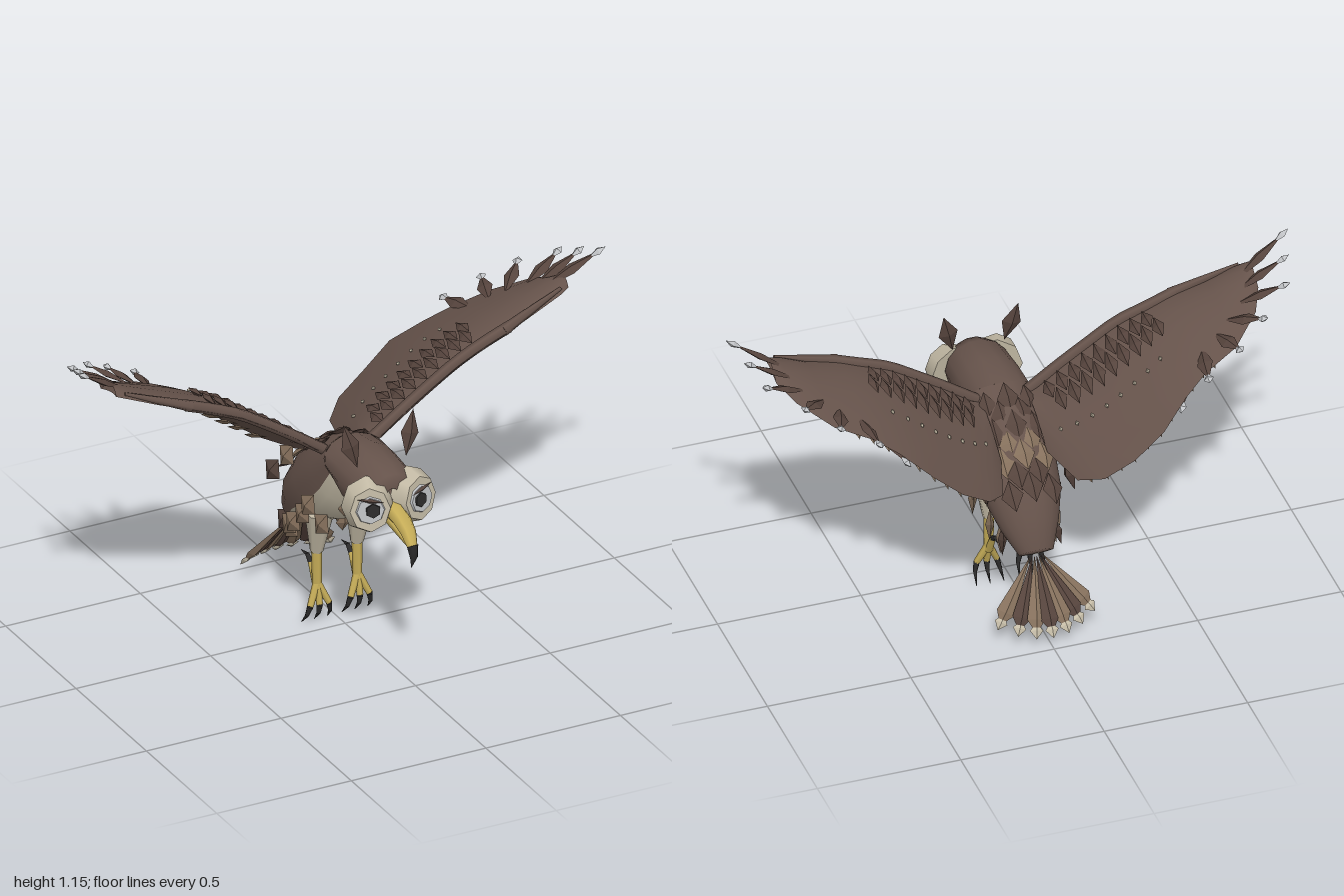
import * as THREE from 'three';

const V = (x, y, z) => new THREE.Vector3(x, y, z);
const lerp = THREE.MathUtils.lerp;

export function createModel() {
  const root = new THREE.Group();
  const mat = (name, color) => new THREE.MeshStandardMaterial({ name, color, side: THREE.DoubleSide });
  const brown = mat('brown plumage', 0x66534b);
  const dark = mat('dark feather', 0x56443d);
  const tan = mat('tan feather', 0x85705c);
  const cream = mat('cream down', 0xc4bba6);
  const yellow = mat('yellow horn', 0xc6ad58);
  const black = mat('black claw', 0x2c2b2b);
  const silver = mat('silver tip', 0xbfc1c4);

  const add = (name, geo, m, parent = root) => {
    const mesh = new THREE.Mesh(geo, m);
    mesh.name = name;
    parent.add(mesh);
    return mesh;
  };

  // Smooth skin over rows of points
  function loft(rows, flip = false, closed = false) {
    const n = rows[0].length, idx = [];
    for (let i = 0; i < rows.length - 1; i++) {
      for (let j = 0; j < (closed ? n : n - 1); j++) {
        const a = i * n + j, b = i * n + (j + 1) % n, c = a + n, d = b + n;
        idx.push(...(flip ? [a, c, b, b, c, d] : [a, b, c, b, d, c]));
      }
    }
    const g = new THREE.BufferGeometry().setFromPoints(rows.flat());
    g.setIndex(idx);
    g.computeVertexNormals();
    return g;
  }

  // Elliptical ring from [topZ, topY, bottomZ, bottomY, halfWidth]
  function ring([tz, ty, bz, by, w], from, to, n, closed) {
    const pts = [];
    for (let k = 0; k < n; k++) {
      const a = lerp(from, to, k / (closed ? n : n - 1)), s = (Math.sin(a) + 1) / 2;
      pts.push(V(w * Math.cos(a), lerp(by, ty, s), lerp(bz, tz, s)));
    }
    return pts;
  }
  const tubeLoft = (secs, n) => loft(secs.map(s => ring(s, Math.PI * 2, 0, n, true)), false, true);

  // Flat faceted feather between two points, widest at fraction k
  function feather(name, m, a, b, width, thick, normal, parent = root, k = 0.5) {
    const len = a.distanceTo(b), g = new THREE.OctahedronGeometry(1), p = g.attributes.position;
    for (let i = 0; i < p.count; i++) {
      const y = p.getY(i);
      p.setXYZ(i, p.getX(i) * width / 2, Math.abs(y) < 0.1 ? len * k : y > 0 ? len : 0, p.getZ(i) * thick / 2);
    }
    g.computeVertexNormals();
    const mesh = add(name, g, m, parent);
    const dir = b.clone().sub(a).normalize();
    const side = dir.clone().cross(normal).normalize();
    mesh.quaternion.setFromRotationMatrix(new THREE.Matrix4().makeBasis(side, dir, side.clone().cross(dir)));
    mesh.position.copy(a);
    return mesh;
  }

  // Tapered six-sided limb between two points
  function limb(name, m, a, b, r0, r1, parent = root) {
    const g = new THREE.CylinderGeometry(r1, r0, a.distanceTo(b), 6);
    const mesh = add(name, g, m, parent);
    mesh.quaternion.setFromUnitVectors(V(0, 1, 0), b.clone().sub(a).normalize());
    mesh.position.copy(a).lerp(b, 0.5);
  }

  // Neck and body, with a pale underside
  const neck = [
    [0.335, 0.66, 0.335, 0.62, 0.02], [0.33, 0.71, 0.33, 0.56, 0.08], [0.28, 0.73, 0.28, 0.53, 0.11],
    [0.15, 0.745, 0.19, 0.525, 0.115], [0.03, 0.725, 0.12, 0.59, 0.115]];
  const body = [
    [0.03, 0.725, 0.12, 0.59, 0.115], [-0.08, 0.68, 0.1, 0.5, 0.13], [-0.2, 0.59, 0.03, 0.41, 0.14],
    [-0.27, 0.49, -0.1, 0.345, 0.13], [-0.31, 0.4, -0.2, 0.285, 0.1], [-0.345, 0.3, -0.295, 0.25, 0.06],
    [-0.325, 0.275, -0.315, 0.265, 0.01]];
  const PI = Math.PI, cut = 0.13 * PI;
  add('neck', tubeLoft(neck, 14), brown);
  add('back', loft(body.map(s => ring(s, PI + cut, -cut, 13, false))), brown);
  add('belly', loft(body.map(s => ring(s, -cut, cut - PI, 9, false))), cream);

  // Hooked beak
  add('upperBeak', tubeLoft([[0.33, 0.62, 0.33, 0.555, 0.036], [0.41, 0.6, 0.4, 0.55, 0.034],
    [0.46, 0.57, 0.44, 0.53, 0.028], [0.495, 0.515, 0.465, 0.5, 0.018]], 6), yellow);
  add('beakTip', tubeLoft([[0.497, 0.525, 0.462, 0.505, 0.021], [0.5, 0.48, 0.478, 0.47, 0.014],
    [0.472, 0.43, 0.47, 0.43, 0.001]], 6), black);
  limb('lowerBeak', yellow, V(0, 0.545, 0.33), V(0, 0.505, 0.45), 0.022, 0.008);

  // Overlapping feathers down the spine
  for (let r = 0; r < 7; r++) {
    const t = r / 6, z = lerp(-0.01, -0.26, t), y = lerp(0.715, 0.525, t * (0.75 + 0.25 * t));
    const count = r % 2 ? 2 : 3;
    for (let c = 0; c < count; c++) {
      const x = (c - (count - 1) / 2) * 0.07, drop = Math.abs(x) * 0.35;
      feather('backFeather', r === 3 || r === 4 ? tan : dark, V(x, y + 0.025 - drop, z + 0.02),
        V(x, y - 0.045 - drop, z - 0.065), 0.075, 0.025, V(x * 4, 0.8, -0.6));
    }
  }

  // Chest feathers
  for (const [x, y, z] of [[0, 0.46, 0.075], [0.05, 0.5, 0.09], [-0.05, 0.5, 0.09], [0, 0.385, -0.02]])
    feather('chestFeather', tan, V(x, y + 0.035, z + 0.02), V(x, y - 0.045, z), 0.06, 0.02, V(0, -0.4, 1));

  // Tail fan
  for (let i = -3; i <= 3; i++) {
    const u = i / 3, a = V(u * 0.02, 0.265, -0.32);
    const b = V(u * 0.16, 0.06 + 0.02 * u * u, -0.485 + 0.07 * u * u);
    const up = V(0, 0.65, -0.75);
    feather('tailFeather', i % 2 ? tan : dark, a, b, 0.062, 0.022, up, root, 0.82);
    feather('tailTip', cream, a.clone().lerp(b, 0.85), a.clone().lerp(b, 1.07), 0.045, 0.016, up);
  }

  // Wing outline: x, leading z, leading y, trailing z, trailing y
  const stations = [
    [0.08, 0.03, 0.67, -0.2, 0.58], [0.13, 0.04, 0.7, -0.36, 0.56], [0.2, 0.04, 0.755, -0.43, 0.595],
    [0.3, 0.04, 0.82, -0.45, 0.66], [0.4, 0.04, 0.88, -0.45, 0.75], [0.5, 0.03, 0.92, -0.39, 0.83],
    [0.58, 0.03, 0.95, -0.35, 0.88], [0.7, 0.01, 0.99, -0.31, 0.93], [0.8, 0, 1.03, -0.22, 0.99],
    [0.84, -0.02, 1.04, -0.13, 1.02]];
  function wingAt(s, x, f, camber = 0.035) {
    let i = 0;
    while (i < stations.length - 2 && stations[i + 1][0] < x) i++;
    const p = stations[i], q = stations[i + 1], t = (x - p[0]) / (q[0] - p[0]);
    const m = p.map((v, k) => lerp(v, q[k], t));
    return V(s * x, lerp(m[2], m[4], f) + camber * Math.sin(PI * Math.pow(f, 0.7)), lerp(m[1], m[3], f));
  }
  const tips = [[0.98, 1.155, -0.025], [0.95, 1.12, -0.12], [0.92, 1.08, -0.22], [0.81, 1.025, -0.315],
    [0.7, 0.96, -0.38], [0.57, 0.89, -0.42], [0.47, 0.79, -0.42]];

  for (const s of [1, -1]) {
    const wing = new THREE.Group();
    wing.name = s > 0 ? 'leftWing' : 'rightWing';
    root.add(wing);
    const chord = [0, 0.12, 0.3, 0.5, 0.75, 1];
    const sheet = (c, rev) => stations.map(st =>
      (rev ? chord : [...chord].reverse()).map(f => wingAt(s, st[0], f, c)));
    add('wingTop', loft(sheet(0.035, false), s < 0), brown, wing);
    add('wingUnderside', loft(sheet(0.008, true), s < 0), brown, wing);
    const edge = new THREE.CatmullRomCurve3([0.09, 0.2, 0.3, 0.4, 0.5, 0.6].map(x => wingAt(s, x, 0.04)));
    add('wingBone', new THREE.TubeGeometry(edge, 12, 0.02, 6), brown, wing);
    limb('wingEdge', brown, wingAt(s, 0.58, 0.04), wingAt(s, 0.81, 0.06), 0.02, 0.006, wing);

    // Flight feathers with pale tips
    const hub = V(s * 0.62, 0.93, -0.12), slope = V(-s * 0.4, 1, 0.1);
    for (const [x, y, z] of tips) {
      const tip = V(s * x, y, z), base = tip.clone().lerp(hub, 0.62);
      feather('flightFeather', dark, base, tip.clone().lerp(base, 0.08), 0.055, 0.022, slope, wing, 0.55);
      feather('flightTip', silver, tip.clone().lerp(base, 0.25), tip, 0.036, 0.024, slope, wing, 0.6);
    }

    // Covert rows and pale flecks on the upper surface
    const over = V(-s * 0.5, 1, -0.2);
    for (let r = 0; r < 2; r++) for (let i = 0; i < 9; i++) {
      const x = 0.14 + i * 0.042 + r * 0.02, f = 0.09 + r * 0.14;
      feather('covert', dark, wingAt(s, x, f, 0.045), wingAt(s, x, f + 0.23, 0.05), 0.046, 0.022, over, wing);
    }
    for (let i = 0; i < 8; i++) {
      const p = wingAt(s, 0.13 + i * 0.048, 0.55, 0.038);
      feather('fleck', cream, p, p.clone().add(V(0, -0.004, -0.022)), 0.014, 0.014, over, wing);
    }

    // Tan fringe below the trailing edge
    for (let i = 0; i < 11; i++) {
      const x = 0.16 + i * 0.045, a = wingAt(s, x, 0.68, -0.005), b = wingAt(s, x + 0.01, 0.99, 0);
      b.y -= 0.018;
      feather('fringeFeather', tan, a, b, 0.046, 0.016, V(s * 0.5, -1, 0.2), wing, 0.6);
    }

    // Face disc, eye and ear tuft
    const face = new THREE.Group();
    face.name = 'face';
    face.position.set(s * 0.085, 0.61, 0.33);
    face.rotation.set(-0.1, s * 0.3, 0);
    root.add(face);
    const disc = (name, r0, r1, h, z, m, n) => {
      const d = add(name, new THREE.CylinderGeometry(r1, r0, h, n).rotateX(PI / 2), m, face);
      d.position.z = z;
      return d;
    };
    disc('faceDisc', 0.088, 0.068, 0.06, 0, cream, 8).scale.y = 1.14;
    disc('eyeWhite', 0.05, 0.046, 0.008, 0.033, silver, 8);
    disc('pupil', 0.027, 0.025, 0.006, 0.039, black, 6).position.x = -s * 0.008;
    feather('brow', dark, V(-s * 0.045, 0.025, 0.038), V(s * 0.045, 0.045, 0.036), 0.016, 0.014, V(0, 0, 1), face);
    feather('earTuft', dark, V(s * 0.09, 0.725, 0.26), V(s * 0.13, 0.88, 0.235), 0.068, 0.025, V(0, 0, 1));

    // Side feathers: height, depth, distance out
    for (const [y, z, x, m] of [[0.49, 0.02, 0.14, tan], [0.43, 0.06, 0.11, tan], [0.375, -0.095, 0.135, tan],
      [0.32, -0.18, 0.105, tan], [0.285, -0.215, 0.08, tan], [0.3, -0.25, 0.085, dark],
      [0.5, -0.24, 0.135, dark], [0.6, -0.14, 0.135, tan], [0.44, -0.02, 0.14, tan]])
      feather('sideFeather', m, V(s * x, y + 0.045, z + 0.025), V(s * (x + 0.018), y - 0.045, z - 0.025),
        0.085, 0.03, V(s, 0, 0.2));

    // Leg, toes and claws
    const leg = new THREE.Group();
    leg.name = s > 0 ? 'leftLeg' : 'rightLeg';
    root.add(leg);
    const P = (x, y, z) => V(s * (0.075 + x), y, z);
    limb('thigh', cream, P(0, 0.42, -0.04), P(0, 0.265, -0.06), 0.05, 0.022, leg);
    limb('shank', yellow, P(0, 0.28, -0.06), P(0, 0.13, -0.057), 0.018, 0.016, leg);
    for (const d of [-1, 0, 1]) {
      const k = P(d * 0.035, 0.075, -0.038);
      limb('toe', yellow, P(0, 0.15, -0.057), k, 0.014, 0.011, leg);
      limb('claw', black, k, P(d * 0.043, 0.042, -0.045), 0.011, 0.007, leg);
      limb('clawPoint', black, P(d * 0.043, 0.042, -0.045), P(d * 0.048, 0.005, -0.075), 0.007, 0.001, leg);
    }
    limb('hindToe', yellow, P(0, 0.13, -0.06), P(0, 0.205, -0.1), 0.013, 0.01, leg);
    limb('hindClaw', black, P(0, 0.2, -0.097), P(0, 0.222, -0.125), 0.01, 0.007, leg);
    limb('hindClawPoint', black, P(0, 0.222, -0.125), P(0, 0.218, -0.17), 0.007, 0.001, leg);
  }
  return root;
}
